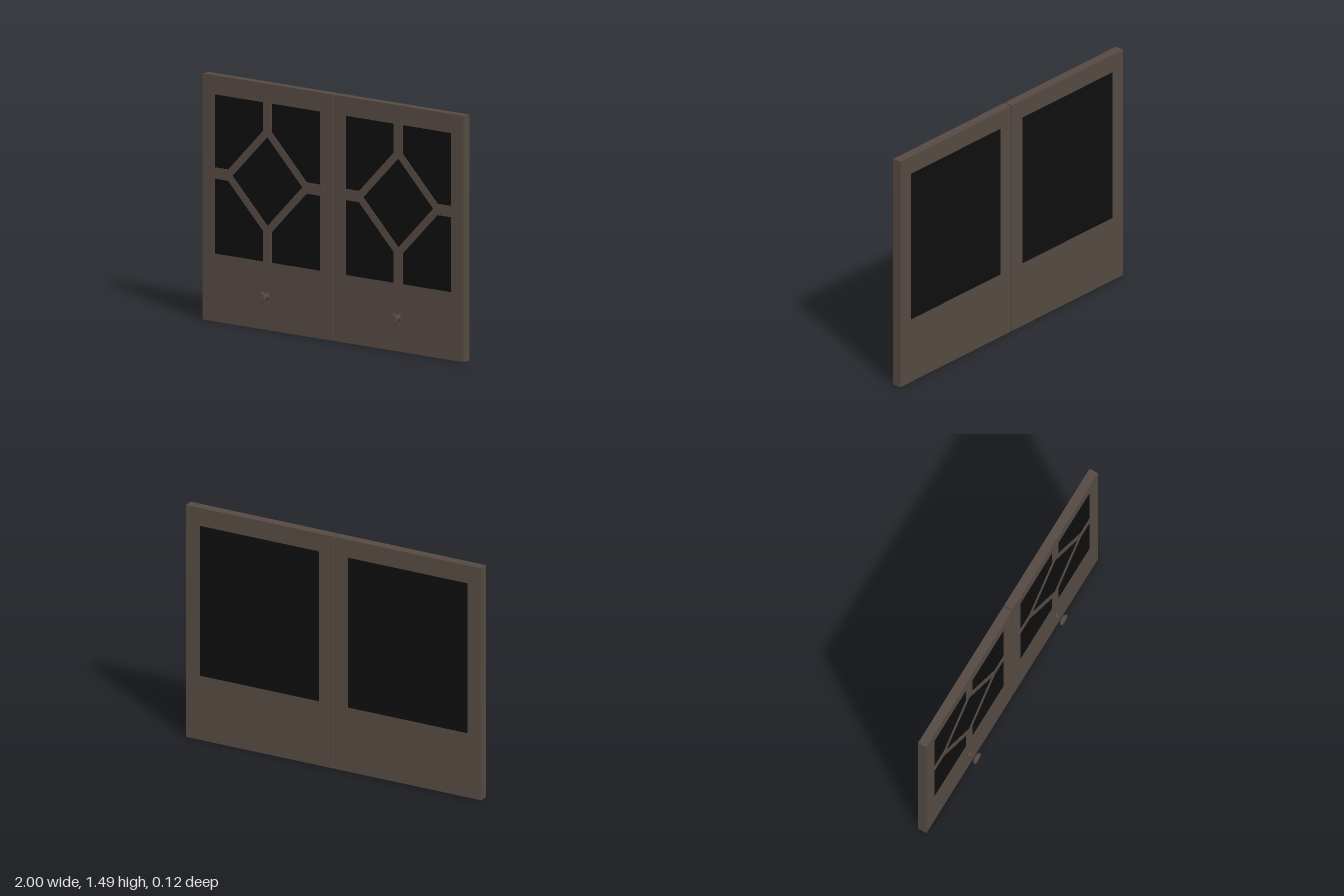
import * as THREE from 'three';

const wood = new THREE.MeshStandardMaterial({ color: 0x564a43 });
wood.name = 'brown wood';
const glass = new THREE.MeshStandardMaterial({ color: 0x0e0e0e });
glass.name = 'dark glass';

const HEIGHT = 1.485, BACK = -0.061, FRONT = -0.004;
const HALF_W = 0.498;                              // half width of one door
const PANE = { w: 0.404, bottom: 0.41, top: 1.37 }; // window opening
const LATTICE_Y = 0.896;

function rectangle(PathType, x, y0, y1) {
  return new PathType([[-x, y0], [x, y0], [x, y1], [-x, y1]].map(p => new THREE.Vector2(...p)));
}

function extrude(shape, z0, z1) {
  const geometry = new THREE.ExtrudeGeometry(shape, { depth: z1 - z0, bevelEnabled: false });
  return geometry.translate(0, 0, z0);
}

function addMesh(parent, name, geometry, material) {
  const mesh = new THREE.Mesh(geometry, material);
  mesh.name = name;
  parent.add(mesh);
  return mesh;
}

// Diamond ring with four arms reaching into the frame
function latticeShape() {
  const arm = 0.034, outer = 0.335, inner = 0.268;
  const reach = [0.44, 0.514, 0.44, 0.526];        // right, up, left, down
  const points = [], hole = [];
  const origin = new THREE.Vector2();
  reach.forEach((length, i) => {
    const angle = i * Math.PI / 2;
    const local = [[outer - arm, -arm], [length, -arm], [length, arm], [outer - arm, arm]];
    for (const p of local) points.push(new THREE.Vector2(...p).rotateAround(origin, angle));
    hole.push(new THREE.Vector2(inner, 0).rotateAround(origin, angle));
  });
  const shape = new THREE.Shape(points);
  shape.holes.push(new THREE.Path(hole));
  return shape;
}

// Round knob: base flange, slim neck, flared flat head
function knobGeometry() {
  const profile = [
    [0, 0], [0.022, 0], [0.022, 0.004], [0.011, 0.008], [0.009, 0.022], [0.012, 0.032],
    [0.02, 0.042], [0.034, 0.049], [0.035, 0.053], [0.035, 0.062], [0.033, 0.065],
    [0.033, 0.065], [0, 0.065],
  ].map(p => new THREE.Vector2(...p));
  return new THREE.LatheGeometry(profile, 28).rotateX(Math.PI / 2);
}

function createDoor(side) {
  const door = new THREE.Group();
  door.name = side > 0 ? 'leftDoor' : 'rightDoor';
  door.position.x = side * 0.502;

  const frame = rectangle(THREE.Shape, HALF_W, 0, HEIGHT);
  frame.holes.push(rectangle(THREE.Path, PANE.w, PANE.bottom, PANE.top));
  addMesh(door, 'doorFrame', extrude(frame, BACK, FRONT), wood);

  const pane = rectangle(THREE.Shape, PANE.w, PANE.bottom, PANE.top);
  addMesh(door, 'windowPane', extrude(pane, BACK + 0.001, FRONT - 0.001), glass);

  const lattice = addMesh(door, 'windowLattice', extrude(latticeShape(), FRONT - 0.003, FRONT + 0.002), wood);
  lattice.position.y = LATTICE_Y;

  const knob = addMesh(door, 'knob', knobGeometry(), wood);
  knob.position.set(side * 0.003, 0.204, FRONT);
  return door;
}

export function createModel() {
  const model = new THREE.Group();
  model.name = 'pairOfCabinetDoors';
  for (const side of [-1, 1]) model.add(createDoor(side));
  return model;
}
